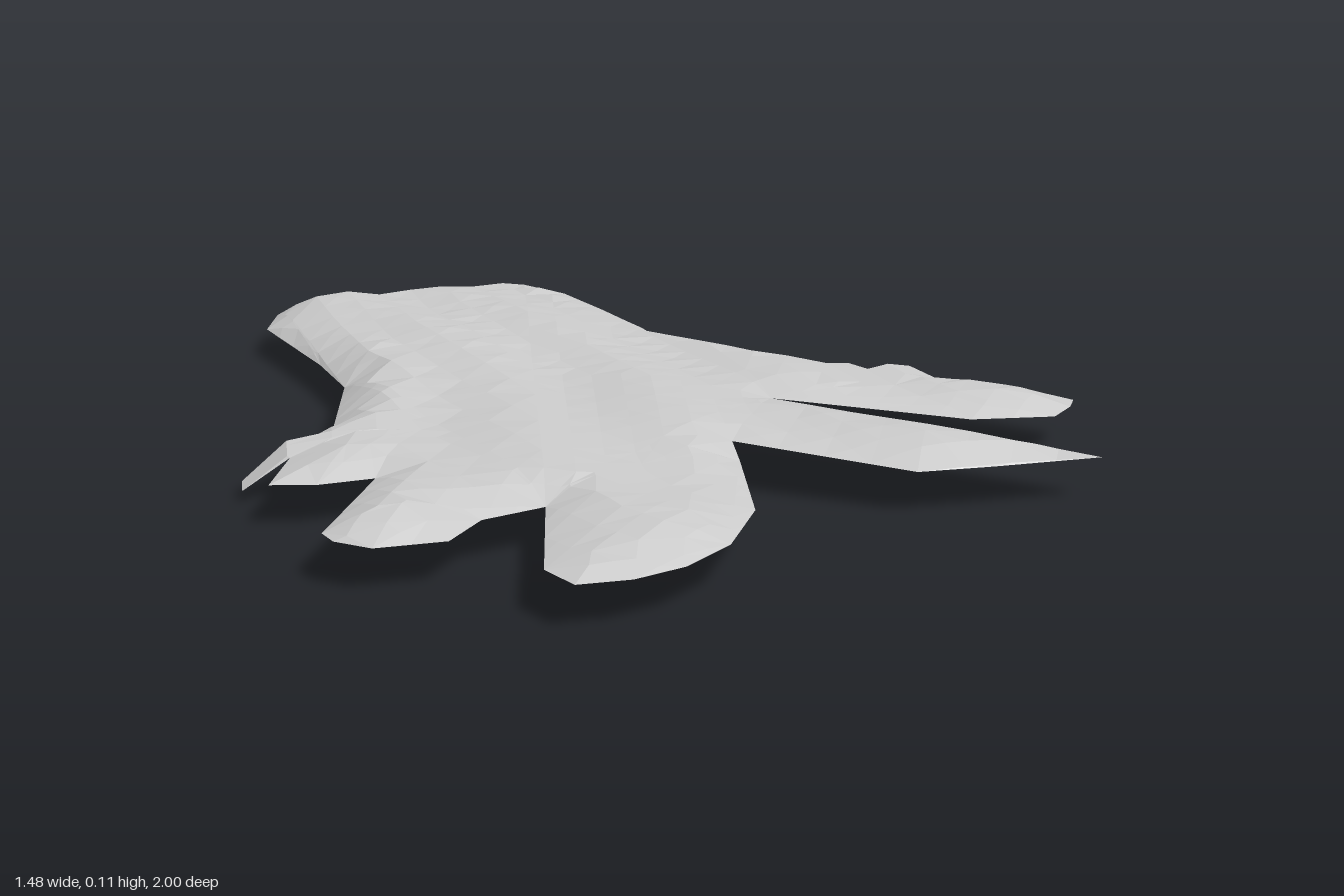
import * as THREE from 'three';

// Plan outline of each part as [x, z, optional rim height]; edges used by two parts are seams.
const PARTS = {
  trunk: [[-.32, -.87], [-.26, -.98], [-.1, -1], [.05, -.965], [.15, -.99], [.24, -.95], [.3, -.8],
    [.32, -.42], [.43, -.15], [.24, .14, .085], [.05, .38, .085], [.03, .45], [-.37, .58],
    [-.4, .13], [-.48, -.08], [-.35, -.37], [-.33, -.55]],
  leftDroopingRoot: [[.43, -.15], [.67, .05, 0], [.705, .12, .01], [.6, .12], [.24, .14, .085]],
  leftSideRoot: [[.24, .14, .085], [.6, .12], [.69, .2], [.74, .31], [.71, .35], [.65, .4], [.51, .36]],
  leftFrontRoot: [[.24, .14, .085], [.43, .4], [.58, .67], [.39, .65], [.26, .63], [.05, .38, .085]],
  frontRoot: [[.03, .45], [-.08, .73], [-.2, .89], [-.31, .97], [-.41, 1], [-.5, .99], [-.51, .9], [-.37, .58]],
  rightFrontRoot: [[-.37, .58], [-.49, .61], [-.58, .7], [-.7, .69], [-.74, .63], [-.74, .58], [-.55, .31], [-.4, .13]],
  rightSideRoot: [[-.4, .13], [-.55, .31], [-.65, .31], [-.72, .28], [-.63, .13]],
  rightDroopingRoot: [[-.4, .13], [-.63, .13], [-.71, .12, .02], [-.69, .06, .02], [-.48, -.08]],
};
const MAX_EDGE = 0.09;
const rimHeight = ([, z, y]) => y ?? (z < -0.05 ? 0.05 : 0.07);

// Outer edges: those belonging to one part only
function findRim() {
  const edges = new Map();
  for (const pts of Object.values(PARTS)) {
    pts.forEach((a, i) => {
      const b = pts[(i + 1) % pts.length];
      const key = [a.slice(0, 2).join(), b.slice(0, 2).join()].sort().join('|');
      if (edges.has(key)) edges.delete(key);
      else edges.set(key, [a, b]);
    });
  }
  return [...edges.values()];
}

// Height of the bark: rises from the rim to a grooved crest
function barkHeight(x, z, rim) {
  let best = Infinity, base = 0;
  for (const [a, b] of rim) {
    const dx = b[0] - a[0], dz = b[1] - a[1];
    const t = THREE.MathUtils.clamp(((x - a[0]) * dx + (z - a[1]) * dz) / (dx * dx + dz * dz), 0, 1);
    const d = Math.hypot(x - a[0] - t * dx, z - a[1] - t * dz);
    if (d < best) {
      best = d;
      base = THREE.MathUtils.lerp(rimHeight(a), rimHeight(b), t);
    }
  }
  const spread = 1 + 0.7 * Math.max(0, z + 0.4);
  const crest = 0.1 + 0.006 * Math.sin(32 * x / spread + 1.5 * Math.sin(4 * z)) + 0.003 * Math.sin(9 * z + 5 * x);
  const rise = Math.pow(Math.min(1, best / 0.09), 0.75);
  return base + (crest - base) * rise;
}

// Halve the longest edge until the triangle is small
function split(a, b, c, out) {
  const tri = [a, b, c];
  const len = tri.map((p, i) => p.distanceTo(tri[(i + 1) % 3]));
  const k = len.indexOf(Math.max(...len));
  if (len[k] <= MAX_EDGE) {
    out.push(a, b, c);
    return;
  }
  const p = tri[k], q = tri[(k + 1) % 3], r = tri[(k + 2) % 3];
  const m = p.clone().add(q).multiplyScalar(0.5);
  split(p, m, r, out);
  split(m, q, r, out);
}

function barkSheet(outline, rim) {
  const pts = outline.map(([x, z]) => new THREE.Vector2(x, z));
  const flat = [];
  for (const [i, j, k] of THREE.ShapeUtils.triangulateShape(pts, [])) {
    const [a, b, c] = [pts[i], pts[j], pts[k]];
    // order the corners so that the face looks up
    const turn = b.clone().sub(a).cross(c.clone().sub(a));
    if (turn < 0) split(a, b, c, flat);
    else split(a, c, b, flat);
  }
  const positions = flat.flatMap((p) => [p.x, barkHeight(p.x, p.y, rim), p.y]);
  const geometry = new THREE.BufferGeometry();
  geometry.setAttribute('position', new THREE.Float32BufferAttribute(positions, 3));
  geometry.computeVertexNormals();
  return geometry;
}

export function createModel() {
  const group = new THREE.Group();
  group.name = 'rootedBark';
  const material = new THREE.MeshStandardMaterial({ color: 0xcccccc, flatShading: true, side: THREE.DoubleSide });
  const rim = findRim();
  for (const [name, outline] of Object.entries(PARTS)) {
    const mesh = new THREE.Mesh(barkSheet(outline, rim), material);
    mesh.name = name;
    group.add(mesh);
  }
  return group;
}
